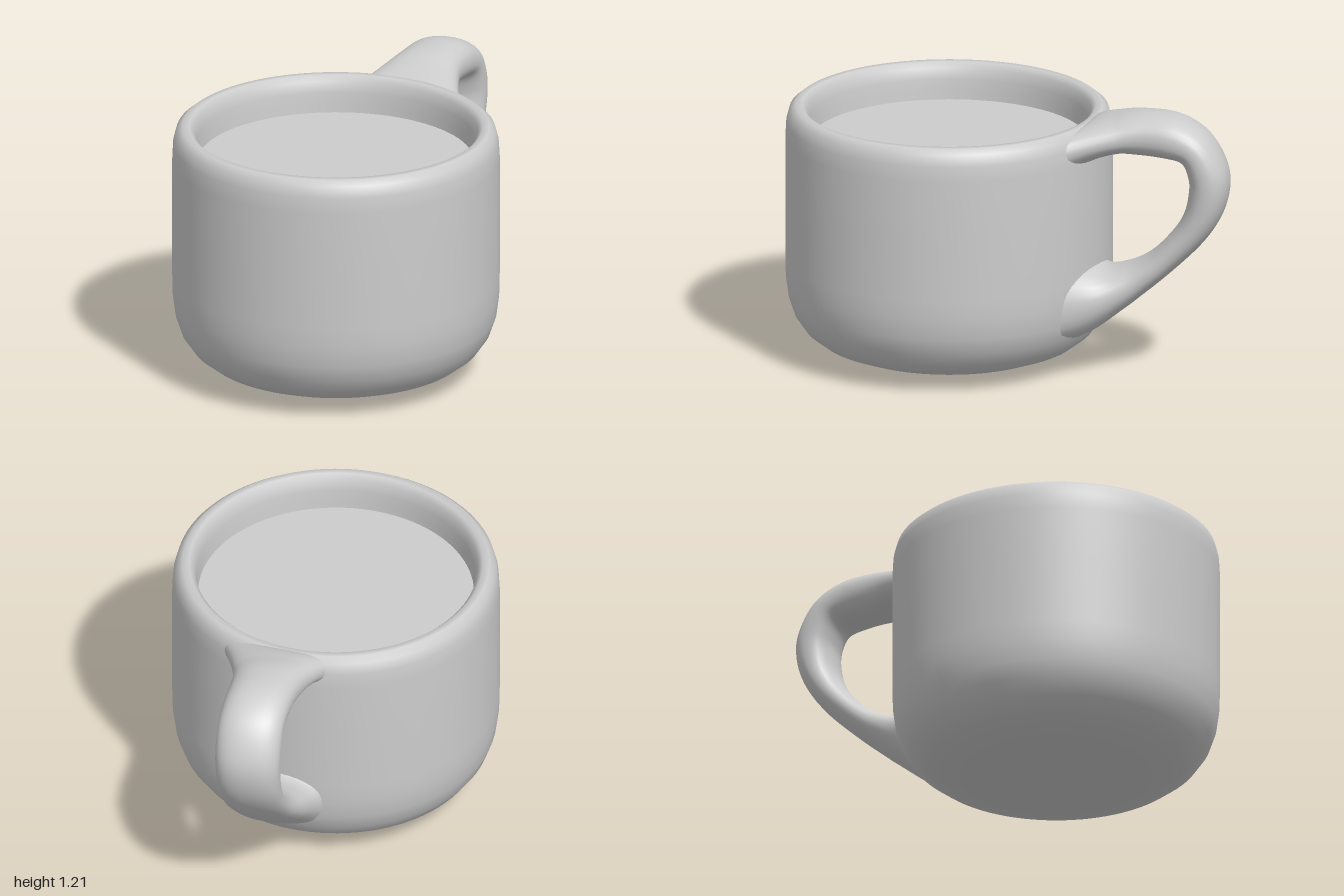
import * as THREE from 'three';

const BODY_Z = 0.28; // mug axis, shifted forward to balance the handle

// One row per handle section: outer z,y, inner z,y, centre x, half width, wrap onto the body
const SECTIONS = [
  [-0.32, 1.13, -0.32, 0.93, 0.17, 0.30, 1],
  [-0.40, 1.155, -0.42, 0.98, 0.17, 0.24, 0.5],
  [-0.48, 1.185, -0.50, 1.02, 0.18, 0.185, 0],
  [-0.60, 1.21, -0.60, 1.02, 0.20, 0.155, 0],
  [-0.76, 1.205, -0.71, 1.015, 0.225, 0.147, 0],
  [-0.89, 1.14, -0.79, 1.0, 0.24, 0.145, 0],
  [-0.97, 1.03, -0.82, 0.93, 0.245, 0.145, 0],
  [-1.0, 0.91, -0.82, 0.86, 0.245, 0.143, 0],
  [-0.97, 0.77, -0.80, 0.77, 0.24, 0.14, 0],
  [-0.88, 0.63, -0.75, 0.68, 0.23, 0.137, 0],
  [-0.72, 0.47, -0.65, 0.57, 0.21, 0.137, 0],
  [-0.56, 0.33, -0.55, 0.51, 0.19, 0.155, 0],
  [-0.43, 0.21, -0.46, 0.49, 0.18, 0.21, 0.25],
  [-0.32, 0.12, -0.40, 0.56, 0.17, 0.32, 1],
];

// Smooth tube through the sections, with both roots wrapped into the mug wall
function handleGeometry(rows = 90, sides = 32) {
  const curve = (f) => new THREE.CatmullRomCurve3(SECTIONS.map(f), false, 'catmullrom', 0.5);
  const outer = curve((s) => new THREE.Vector3(0, s[1], s[0]));
  const inner = curve((s) => new THREE.Vector3(0, s[3], s[2]));
  const shape = curve((s) => new THREE.Vector3(s[4], s[5], s[6]));
  const round = (v) => Math.sign(v) * Math.abs(v) ** 0.88;
  const positions = [];
  const index = [];
  for (let i = 0; i <= rows; i++) {
    const o = outer.getPoint(i / rows);
    const n = inner.getPoint(i / rows);
    const s = shape.getPoint(i / rows);
    const wrap = THREE.MathUtils.clamp(s.z, 0, 1);
    for (let j = 0; j < sides; j++) {
      const a = (j / sides) * Math.PI * 2;
      const p = n.clone().lerp(o, 0.5 + 0.5 * round(Math.cos(a)));
      p.x = s.x + s.y * round(Math.sin(a));
      const r = Math.min(0.67, 0.48 + 0.8 * p.y);
      const wallZ = BODY_Z - Math.sqrt(Math.max(0, r * r - p.x * p.x));
      p.z = THREE.MathUtils.lerp(p.z, wallZ, wrap);
      positions.push(p.x, p.y, p.z);
      if (i < rows) {
        const k = i * sides + j;
        const l = i * sides + ((j + 1) % sides);
        index.push(k, l, k + sides, l, l + sides, k + sides);
      }
    }
  }
  const g = new THREE.BufferGeometry();
  g.setAttribute('position', new THREE.Float32BufferAttribute(positions, 3));
  g.setIndex(index);
  g.computeVertexNormals();
  return g;
}

export function createModel() {
  const model = new THREE.Group();
  model.name = 'mug';
  const grey = new THREE.MeshStandardMaterial({ color: 0xcccccc });
  grey.name = 'light grey';

  const add = (name, geometry) => {
    const mesh = new THREE.Mesh(geometry, grey);
    mesh.name = name;
    model.add(mesh);
    return mesh;
  };

  // Cup: bulging base, straight wall, rounded rim and inner wall
  const profile = [
    [0, 0], [0.2, 0.008], [0.36, 0.022], [0.48, 0.045], [0.57, 0.08], [0.635, 0.13],
    [0.68, 0.195], [0.706, 0.27], [0.718, 0.36], [0.72, 0.45], [0.72, 0.75], [0.72, 1.0],
    [0.716, 1.07], [0.703, 1.12], [0.675, 1.143], [0.645, 1.143], [0.623, 1.12],
    [0.614, 1.07], [0.61, 1.02], [0.605, 0.96],
  ].map(([x, y]) => new THREE.Vector2(x, y));
  add('cup', new THREE.LatheGeometry(profile, 96)).position.z = BODY_Z;

  // Drink surface just below the rim
  const drink = add('drinkSurface', new THREE.CircleGeometry(0.612, 96).rotateX(-Math.PI / 2));
  drink.position.set(0, 0.98, BODY_Z);

  add('handle', handleGeometry());
  return model;
}
